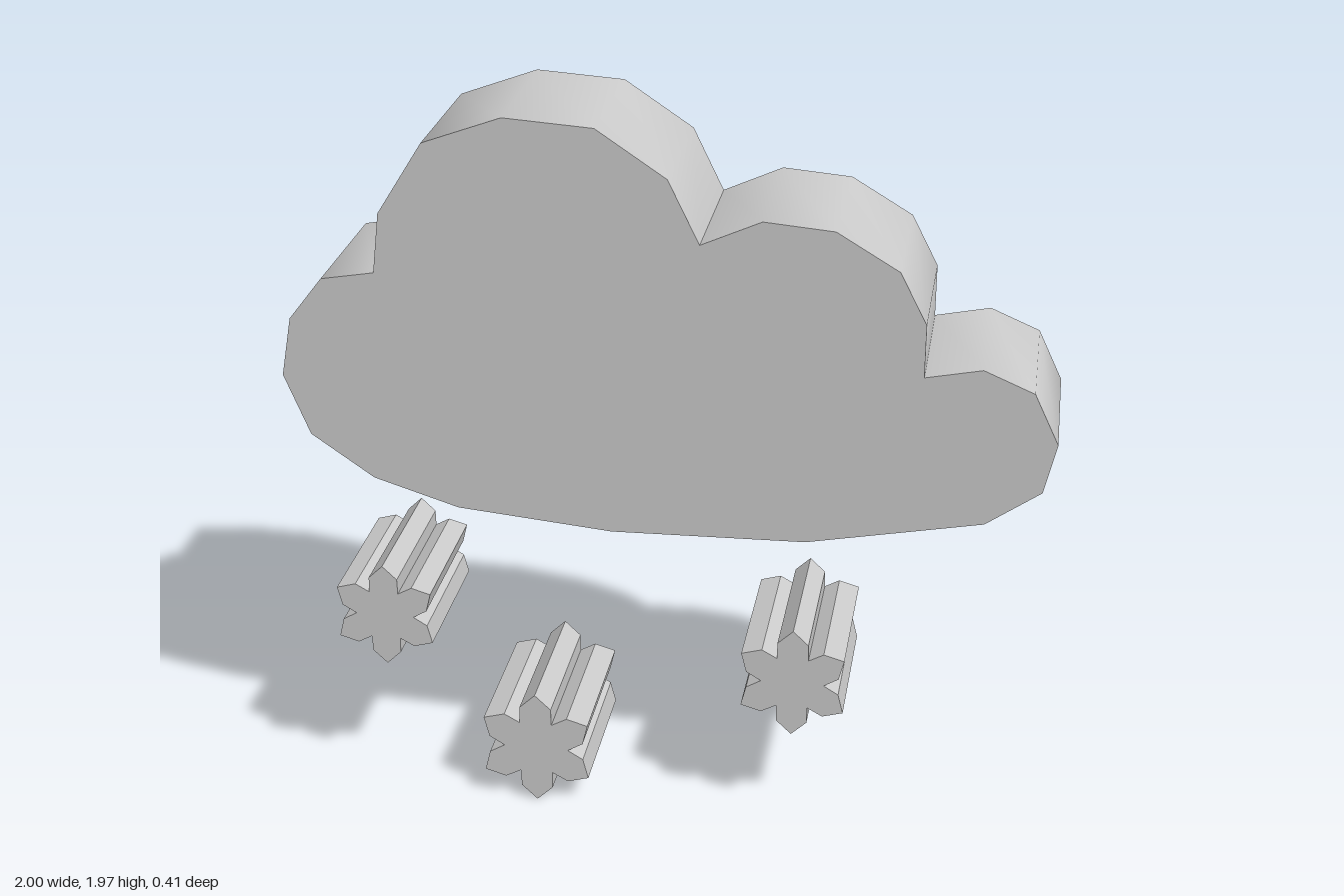
import * as THREE from 'three';
import { toCreasedNormals } from 'three/addons/utils/BufferGeometryUtils.js';

const DEPTH = 0.414;

// Extrudes an outline along z, centred on z = 0
function slab(name, points, creaseAngle) {
  const shape = new THREE.Shape(points);
  const extruded = new THREE.ExtrudeGeometry(shape, { depth: DEPTH, bevelEnabled: false });
  extruded.translate(0, 0, -DEPTH / 2);
  const mesh = new THREE.Mesh(
    toCreasedNormals(extruded, creaseAngle),
    new THREE.MeshStandardMaterial({ color: 0xcccccc })
  );
  mesh.name = name;
  return mesh;
}

// Six-armed flake outline: pointed tip, two shoulders and a valley per arm
function flakePoints(r) {
  const points = [];
  const arm = [[0.26, 0.75], [0, 1], [-0.26, 0.75], [-0.265, 0.459]];
  for (let i = 0; i < 6; i++) {
    for (const [x, y] of arm) {
      points.push(new THREE.Vector2(x * r, y * r).rotateAround(new THREE.Vector2(), i * Math.PI / 3));
    }
  }
  return points;
}

export function createModel() {
  const group = new THREE.Group();
  group.name = 'snowCloud';

  // Cloud outline, clockwise from the left end
  const outline = [
    [-1, 1.25], [-0.97, 1.41], [-0.88, 1.525],                       // left lobe
    [-0.74, 1.55], [-0.72, 1.71], [-0.6, 1.9], [-0.395, 1.975],      // big lobe
    [-0.165, 1.96], [0.015, 1.84],
    [0.095, 1.675], [0.25, 1.745], [0.43, 1.73], [0.59, 1.635],      // middle lobe
    [0.66, 1.5],
    [0.66, 1.36], [0.805, 1.39], [0.935, 1.335], [1, 1.2],           // right lobe
    [0.97, 1.065], [0.83, 0.965], [0.375, 0.875], [-0.135, 0.863],   // underside
    [-0.545, 0.9], [-0.77, 0.97], [-0.935, 1.085],
  ].map(([x, y]) => new THREE.Vector2(x, y));
  group.add(slab('cloud', outline, 0.85));

  // Falling snowflakes: x, y, radius
  const flakes = [[-0.765, 0.553, 0.15], [-0.355, 0.17, 0.168], [0.35, 0.447, 0.159]];
  flakes.forEach(([x, y, r], i) => {
    const flake = slab(`snowflake${i + 1}`, flakePoints(r), 0.3);
    flake.position.set(x, y, 0);
    group.add(flake);
  });

  return group;
}
